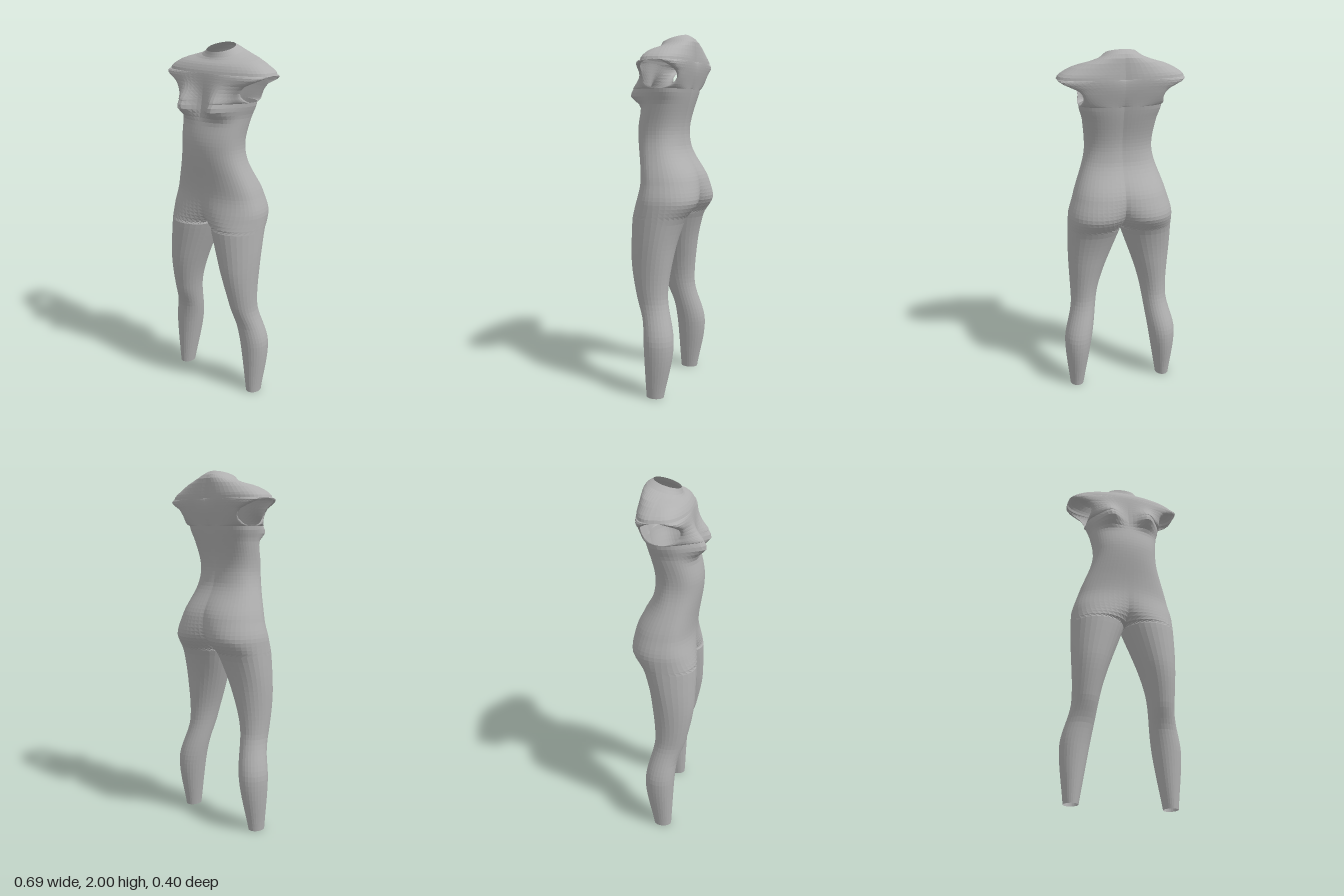
import * as THREE from 'three';

// Curve through a few [height, value] points that never overshoots
function profile(...points) {
  const slope = (i) => (points[i + 1][1] - points[i][1]) / (points[i + 1][0] - points[i][0]);
  const last = points.length - 1;
  const tangents = points.map((_, i) => {
    if (i === 0) return slope(0);
    if (i === last) return slope(last - 1);
    const a = slope(i - 1), b = slope(i);
    return a * b <= 0 ? 0 : (2 * a * b) / (a + b);
  });
  return (y) => {
    if (y <= points[0][0]) return points[0][1];
    if (y >= points[last][0]) return points[last][1];
    const i = points.findIndex((p) => p[0] > y) - 1;
    const h = points[i + 1][0] - points[i][0];
    const t = (y - points[i][0]) / h, t2 = t * t, t3 = t2 * t;
    return (2 * t3 - 3 * t2 + 1) * points[i][1] + (t3 - 2 * t2 + t) * h * tangents[i] +
      (3 * t2 - 2 * t3) * points[i + 1][1] + (t3 - t2) * h * tangents[i + 1];
  };
}

const CROTCH = 1, ARM_LOW = 1.705, ARM_HIGH = 1.85, NECK = 1.977, STEPS = 14;

// Outlines of one half of the body
const outer = profile([0, 0.31], [0.3, 0.337], [0.55, 0.288], [0.9, 0.3], [1.08, 0.297],
  [1.2, 0.266], [1.47, 0.188], [1.62, 0.204], [1.705, 0.226], [1.75, 0.215], [1.785, 0.23],
  [1.85, 0.343], [1.91, 0.262], [1.948, 0.12], [NECK, 0.083]);
const inner = profile([0, 0.23], [0.4, 0.163], [0.6, 0.133], [CROTCH, 0]);
const frontZ = profile([0, 0.04], [0.4, 0.066], [0.56, 0.118], [0.8, 0.16], [0.98, 0.164],
  [1.18, 0.144], [1.47, 0.179], [1.7, 0.133], [1.85, 0.115], [1.948, 0.058], [NECK, 0.05]);
const backZ = profile([0, -0.06], [0.3, -0.112], [0.57, -0.06], [0.8, -0.084], [0.98, -0.13],
  [1.1, -0.2], [1.2, -0.183], [1.4, -0.088], [1.47, -0.08], [1.7, -0.127], [1.85, -0.156],
  [1.93, -0.145], [NECK, -0.095]);
const sideZ = profile([0, -0.01], [0.3, -0.02], [0.65, 0.035], [1.1, -0.01], [1.47, 0.04],
  [1.7, -0.02], [1.85, -0.03], [NECK, -0.022]);

// How far the section folds in at the middle: 1 is a closed leg, 0 a plain half oval
const frontFold = profile([CROTCH, 1], [1.08, 0.5], [1.2, 0.08], [1.3, 0]);
const backFold = profile([CROTCH, 1], [1.08, 0.74], [1.2, 0.42], [1.35, 0.2], [1.55, 0.28],
  [1.85, 0.45], [NECK, 0]);
const roundness = profile([0, 1], [0.9, 0.95], [1.4, 0.8], [1.7, 0.8], [1.85, 0.7], [NECK, 1]);

// Half-width of the arm opening
function armGap(y) {
  const d = (2 * y - ARM_LOW - ARM_HIGH) / (ARM_HIGH - ARM_LOW);
  return Math.sqrt(Math.max(0, 1 - d * d));
}

// Forward swell of the bust: long slope above, short fold below
function bust(x, y) {
  const dx = (x - 0.122) / 0.068, dy = (y - 1.67) / (y > 1.67 ? 0.085 : 0.042);
  return 0.095 * Math.exp(-dx * dx - dy * dy);
}

// One point of a section; t runs from the inner line (0) to the side edge (1)
function sectionPoint(y, front, t) {
  const fold = (front ? frontFold : backFold)(y);
  const radius = (outer(y) - inner(y)) / (1 + fold);
  const angle = Math.acos(-fold) * (1 - t);
  const sin = Math.max(0, Math.sin(angle));
  const x = outer(y) - radius + radius * Math.cos(angle);
  const edge = sideZ(y) + armGap(y) * (front ? 0.108 : -0.095);
  let z = edge + ((front ? frontZ : backZ)(y) - edge) * Math.pow(sin, roundness(y));
  if (front) z += bust(x, y) * sin;
  // The neckline rises towards the back
  const tilt = 0.31 * THREE.MathUtils.smoothstep(y, 1.89, 1.965);
  return [x, y - tilt * (z + 0.022), z];
}

// Faceted skin through sections at the given heights, on the given sides
function skin(heights, sides) {
  const positions = [];
  for (const side of sides) {
    for (const front of [true, false]) {
      const grid = heights.map((height) => Array.from({ length: STEPS + 1 }, (_, j) => {
        const [x, y, z] = sectionPoint(height, front, j / STEPS);
        return [x * side, y, z];
      }));
      const flip = (side > 0) !== front;
      for (let i = 0; i < grid.length - 1; i++) {
        for (let j = 0; j < STEPS; j++) {
          const a = grid[i][j], b = grid[i][j + 1], c = grid[i + 1][j + 1], d = grid[i + 1][j];
          const corners = flip ? [a, c, b, a, d, c] : [a, b, c, a, c, d];
          corners.forEach((p) => positions.push(...p));
        }
      }
    }
  }
  const geometry = new THREE.BufferGeometry();
  geometry.setAttribute('position', new THREE.Float32BufferAttribute(positions, 3));
  geometry.computeVertexNormals();
  return geometry;
}

// Section heights from low to high, optionally crowded towards both ends
function levels(low, high, count, crowded = false) {
  return Array.from({ length: count + 1 }, (_, i) => {
    const t = i / count;
    return THREE.MathUtils.lerp(low, high, crowded ? (1 - Math.cos(Math.PI * t)) / 2 : t);
  });
}

export function createModel() {
  const group = new THREE.Group();
  group.name = 'bodyForm';
  const grey = new THREE.MeshStandardMaterial({ color: 0xb0b0b0, side: THREE.DoubleSide });
  grey.name = 'plain grey';

  const add = (name, heights, sides) => {
    const mesh = new THREE.Mesh(skin(heights, sides), grey);
    mesh.name = name;
    group.add(mesh);
  };

  // Hollow torso with open neck, cap shoulders and arm openings
  add('torso', [
    ...levels(CROTCH, ARM_LOW, 34),
    ...levels(ARM_LOW, ARM_HIGH, 12, true).slice(1),
    ...levels(ARM_HIGH, NECK, 9).slice(1),
  ], [1, -1]);

  // Hollow legs, open at the ankle
  const legHeights = levels(0, CROTCH, 36);
  add('leftLeg', legHeights, [1]);
  add('rightLeg', legHeights, [-1]);
  return group;
}
